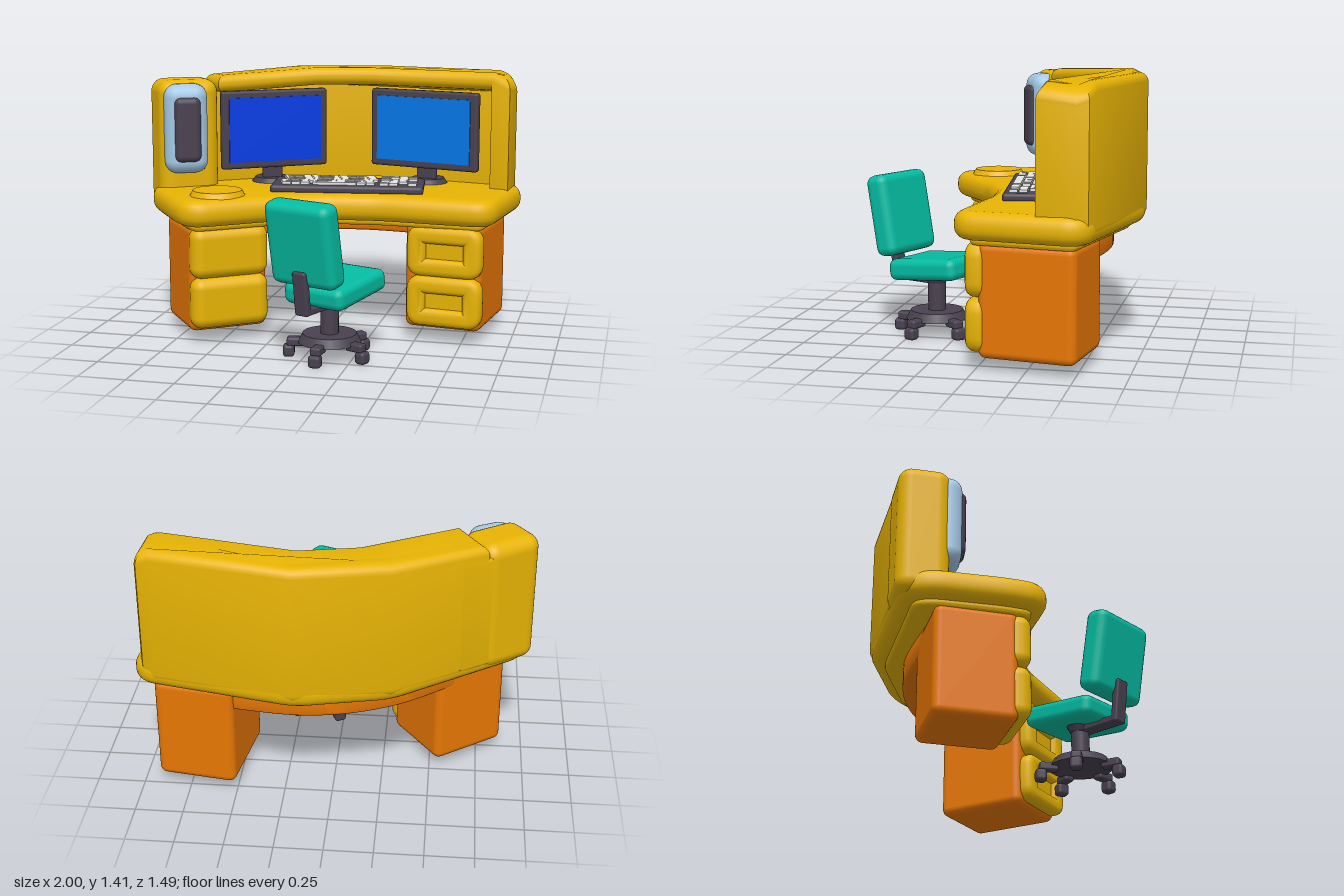
import * as THREE from 'three';
import { mergeGeometries, toCreasedNormals } from 'three/addons/utils/BufferGeometryUtils.js';
import { RoundedBoxGeometry } from 'three/addons/geometries/RoundedBoxGeometry.js';

const paint = (name, color) => {
  const m = new THREE.MeshStandardMaterial({ color });
  m.name = name;
  return m;
};
const yellow = paint('mustard yellow', 0xe8b404);
const orange = paint('orange', 0xf47e04);
const teal = paint('teal', 0x04bca2);
const dark = paint('charcoal', 0x494150);
const deepBlue = paint('deep blue', 0x063eea);
const skyBlue = paint('bright blue', 0x047aec);
const paleBlue = paint('pale blue', 0xa6cbe8);
const grey = paint('key grey', 0xe4e4e4);

function add(parent, name, geo, mat, x = 0, y = 0, z = 0) {
  const mesh = new THREE.Mesh(geo, mat);
  mesh.name = name;
  mesh.position.set(x, y, z);
  parent.add(mesh);
  return mesh;
}

function addGroup(parent, name, x, y, z, turn) {
  const g = new THREE.Group();
  g.name = name;
  g.position.set(x, y, z);
  g.rotation.y = turn;
  parent.add(g);
  return g;
}

const box = (w, h, d, r = 0.02, seg = 3) => new RoundedBoxGeometry(w, h, d, seg, r);
const disc = (top, bottom, h, sides = 32) => new THREE.CylinderGeometry(top, bottom, h, sides);
const pt = (x, z) => new THREE.Vector2(x, -z);

// Plan outline from [x, z] corners
const plan = (corners) => new THREE.Shape(corners.map(([x, z]) => pt(x, z)));

// The same with rounded corners
function roundedPlan(corners, radius) {
  const p = corners.map(([x, z]) => pt(x, z));
  const shape = new THREE.Shape();
  const toward = (a, b) => a.clone().lerp(b, Math.min(0.49, radius / a.distanceTo(b)));
  p.forEach((c, i) => {
    const a = toward(c, p[(i + p.length - 1) % p.length]);
    const b = toward(c, p[(i + 1) % p.length]);
    if (i === 0) shape.moveTo(a.x, a.y);
    else shape.lineTo(a.x, a.y);
    shape.quadraticCurveTo(c.x, c.y, b.x, b.y);
  });
  return shape;
}

// Horizontal slab with rounded edges; grow widens the outline
function slab(shape, y0, y1, bevel, grow = 0) {
  const geo = new THREE.ExtrudeGeometry(shape, {
    depth: y1 - y0 - 2 * bevel, bevelThickness: bevel, bevelSize: bevel,
    bevelOffset: grow - bevel, bevelSegments: 5, curveSegments: 8,
  });
  geo.rotateX(-Math.PI / 2).translate(0, y0 + bevel, 0);
  return toCreasedNormals(geo, 0.7);
}

// Hutch top drops gently to one end and rounds off at the other
function slopeTop(geo) {
  const p = geo.attributes.position;
  for (let i = 0; i < p.count; i++) {
    if (p.getY(i) < 1.2) continue;
    const x = p.getX(i);
    p.setY(i, p.getY(i) - 0.07 * Math.max(0, -x - 0.25) - 5 * Math.max(0, x - 0.85) ** 2);
  }
  return geo;
}

// Drawer front with a recessed pull
function slottedFront(w, h, d) {
  const b = 0.035;
  const [x, y] = [w / 2 - b, h / 2 - b];
  const shape = roundedPlan([[-x, y], [x, y], [x, -y], [-x, -y]], 0.04);
  const [hx, hy] = [w * 0.25 + b, h * 0.15 + b];
  shape.holes.push(plan([[-hx, hy], [-hx, -hy], [hx, -hy], [hx, hy]]));
  const geo = new THREE.ExtrudeGeometry(shape, {
    depth: d - 2 * b, bevelThickness: b, bevelSize: b, bevelSegments: 4, curveSegments: 4,
  });
  geo.translate(0, 0, b - d / 2);
  return toCreasedNormals(geo, 0.7);
}

function buildDesk(root) {
  const top = roundedPlan([
    [-0.925, -0.125], [-0.29, -0.58], [0.17, -0.685], [0.95, -0.52], [0.865, 0.045],
    [0.55, 0.015], [0.3, -0.01], [0.03, 0.02], [-0.23, 0.13], [-0.48, 0.32],
    [-0.6, 0.405], [-0.7, 0.295], [-0.91, -0.02],
  ], 0.07);
  add(root, 'desktop', slab(top, 0.645, 0.785, 0.06, 0.06), yellow);
  add(root, 'desktopUnderside', slab(top, 0.615, 0.68, 0.02, -0.015), yellow);
  add(root, 'roundPad', disc(0.13, 0.15, 0.035), yellow, -0.53, 0.795, 0.19);

  // Curved panel joining the two pedestals
  const panel = new THREE.Shape();
  panel.moveTo(-0.72, 0.12);
  panel.splineThru([pt(-0.31, -0.44), pt(0.14, -0.57), pt(0.72, -0.5)]);
  panel.lineTo(0.69, 0.36);
  panel.splineThru([pt(0.14, -0.44), pt(-0.24, -0.32), pt(-0.62, 0.0)]);
  panel.closePath();
  add(root, 'kneePanel', slab(panel, 0.5, 0.64, 0.02), orange);
}

function buildHutch(root) {
  const back = [
    [-0.76, -0.325], [-0.31, -0.64], [0.17, -0.745], [0.88, -0.6], [0.945, -0.57], [0.965, -0.51],
    [0.945, -0.32],
  ];
  const wall = plan([...back, [0.845, -0.34], [0.87, -0.47], [0.17, -0.625], [-0.25, -0.53], [-0.68, -0.23]]);
  add(root, 'hutchWall', slopeTop(slab(wall, 0.68, 1.41, 0.045)), yellow);
  const canopy = plan([...back, [0.85, -0.34], [0.17, -0.485], [-0.13, -0.425], [-0.61, -0.1]]);
  add(root, 'hutchCanopy', slopeTop(slab(canopy, 1.315, 1.41, 0.045)), yellow);
  add(root, 'endColumn', box(0.33, 0.7, 0.265, 0.07, 4), yellow, -0.82, 1.015, -0.135).rotation.y = 0.605;
  const joint = plan([[-0.87, -0.25], [-0.64, -0.409], [-0.58, -0.32], [-0.8, -0.16]]);
  add(root, 'columnJoint', slab(joint, 0.7, 1.31, 0.02), yellow);
}

function buildPedestals(root) {
  const left = addGroup(root, 'leftPedestal', -0.59, 0, 0.05, 0.63);
  add(left, 'leftCabinet', box(0.43, 0.57, 0.42, 0.04), orange, 0.01, 0.345, -0.015);
  const right = addGroup(root, 'rightPedestal', 0.675, 0, -0.29, -0.15);
  add(right, 'rightCabinet', box(0.42, 0.57, 0.5, 0.04), orange, 0, 0.345, 0);
  for (const y of [0.22, 0.49]) {
    add(left, 'leftDrawer', box(0.425, 0.275, 0.13, 0.06, 4), yellow, 0.005, y, 0.2);
    add(right, 'rightDrawer', slottedFront(0.41, 0.27, 0.1), yellow, 0.02, y, 0.262);
    add(right, 'drawerPull', box(0.24, 0.12, 0.03, 0.005), yellow, 0.02, y, 0.262);
  }
}

function buildMonitor(root, name, w, x, z, turn, screen) {
  const m = addGroup(root, name, x, 0, z, turn);
  add(m, 'frame', box(w, 0.43, 0.05, 0.015, 2), dark, 0, 1.085, -0.025);
  add(m, 'screen', new THREE.BoxGeometry(w - 0.08, 0.355, 0.008), screen, 0, 1.085, 0.002);
  add(m, 'neck', box(0.11, 0.14, 0.04, 0.01), dark, 0, 0.86, -0.06);
  add(m, 'foot', disc(0.09, 0.11, 0.028), dark, 0, 0.797, -0.075);
}

function buildSpeaker(root) {
  const s = addGroup(root, 'speaker', -0.78, 1.105, -0.03, 0.5);
  add(s, 'speakerBody', box(0.235, 0.485, 0.19, 0.07, 3), paleBlue);
  add(s, 'speakerGrille', box(0.145, 0.355, 0.075, 0.036, 3), dark, 0, 0, 0.078);
}

function buildKeyboard(root) {
  const k = addGroup(root, 'keyboard', 0.1, 0.785, -0.165, 0.135);
  add(k, 'keyboardBase', box(0.82, 0.045, 0.31, 0.018), dark, 0, 0.015, 0);
  const keys = [];
  const key = (x, z, w) => keys.push(new THREE.BoxGeometry(w, 0.02, 0.041).translate(x, 0.042, z));
  for (let row = 0; row < 5; row++) {
    const z = -0.1 + row * 0.05;
    const shift = (row % 3) * 0.012;
    for (let i = 0; i < 10; i++) {
      if (row === 4 && i > 2 && i < 7) continue;
      key(-0.335 + shift + i * 0.05, z, 0.046);
    }
    for (let i = 0; i < 4; i++) {
      if ((row + i * 2) % 5 !== 3) key(0.2 + i * 0.05, z, 0.046);
    }
  }
  key(-0.087, 0.1, 0.19);
  add(k, 'keys', mergeGeometries(keys), grey);
}

function buildChair(root) {
  const c = addGroup(root, 'chair', 0.125, 0, 0.38, -0.38);
  add(c, 'seat', box(0.36, 0.115, 0.43, 0.04, 2), teal, 0.015, 0.37, -0.03).rotation.x = 0.1;
  add(c, 'backrest', box(0.39, 0.435, 0.13, 0.045, 2), teal, 0.01, 0.635, 0.23).rotation.x = 0.18;
  add(c, 'backBracketArm', box(0.08, 0.035, 0.28, 0.01), dark, 0.01, 0.29, 0.12);
  add(c, 'backBracketPost', box(0.08, 0.23, 0.04, 0.012), dark, 0.01, 0.385, 0.255).rotation.x = 0.12;
  add(c, 'seatMount', disc(0.07, 0.05, 0.04, 16), dark, 0, 0.295, 0);
  add(c, 'column', disc(0.048, 0.048, 0.2, 16), dark, 0, 0.2, 0);
  add(c, 'baseDisc', disc(0.14, 0.165, 0.045, 20), dark, 0, 0.105, 0);
  // Five legs with casters
  for (let i = 0; i < 5; i++) {
    const leg = addGroup(c, 'leg', 0, 0, 0, i * Math.PI * 0.4 + 0.26);
    add(leg, 'legArm', box(0.055, 0.045, 0.1, 0.012), dark, 0, 0.08, 0.17);
    add(leg, 'caster', box(0.065, 0.065, 0.06, 0.018, 2), dark, 0, 0.0325, 0.21);
  }
}

export function createModel() {
  const root = new THREE.Group();
  root.name = 'cornerWorkstation';
  buildDesk(root);
  buildHutch(root);
  buildPedestals(root);
  buildMonitor(root, 'leftMonitor', 0.61, -0.335, -0.26, 0.588, deepBlue);
  buildMonitor(root, 'rightMonitor', 0.64, 0.465, -0.405, -0.27, skyBlue);
  buildSpeaker(root);
  buildKeyboard(root);
  buildChair(root);
  return root;
}
